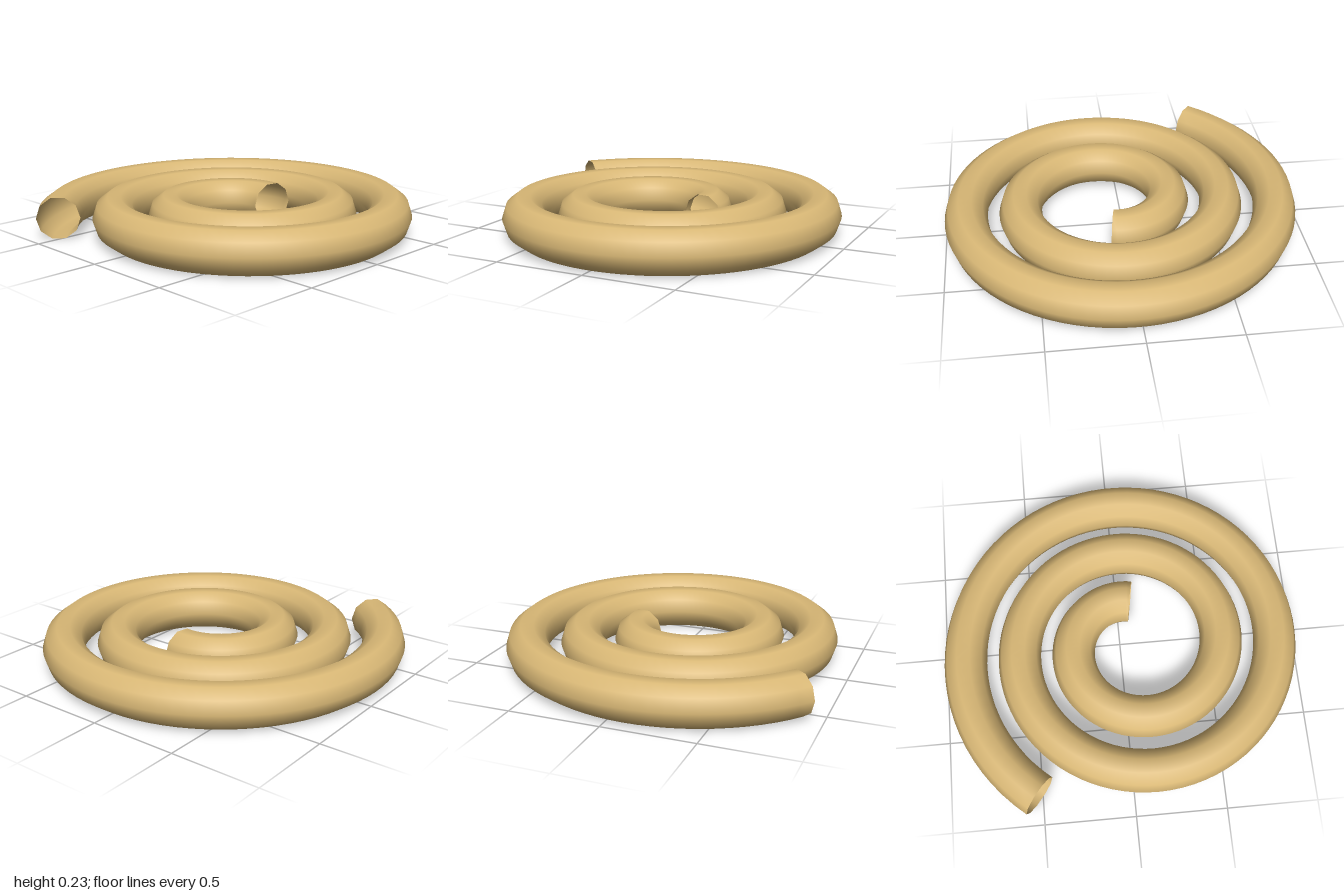
import * as THREE from 'three';

const TURNS = 2.4, START_RADIUS = 0.267, PITCH = 0.306;
const TUBE = 0.12, SIDES = 10, STEPS = 200;
const CENTRE = { x: -0.05, z: 0.0765 };

// Ten-sided ring swept along a flat Archimedean spiral, open at both ends
function spiralTube() {
  const positions = [], indices = [];
  const lift = TUBE * Math.sin(Math.PI * 0.4); // half height of the ring
  const growth = PITCH / (2 * Math.PI);
  for (let i = 0; i <= STEPS; i++) {
    const a = (i / STEPS) * TURNS * 2 * Math.PI;
    const r = START_RADIUS + growth * a;
    const c = Math.cos(a), s = Math.sin(a);
    // outward direction, square to the path
    const len = Math.hypot(r, growth);
    const nx = (r * c + growth * s) / len;
    const nz = (-r * s + growth * c) / len;
    for (let j = 0; j < SIDES; j++) {
      const t = (j / SIDES) * 2 * Math.PI;
      const out = TUBE * Math.cos(t);
      positions.push(
        CENTRE.x + r * c + nx * out,
        lift + TUBE * Math.sin(t),
        CENTRE.z - r * s + nz * out
      );
      if (i < STEPS) {
        const k = (j + 1) % SIDES;
        const p = i * SIDES + j, q = i * SIDES + k;
        indices.push(p, p + SIDES, q, q, p + SIDES, q + SIDES);
      }
    }
  }
  const geometry = new THREE.BufferGeometry();
  geometry.setAttribute('position', new THREE.Float32BufferAttribute(positions, 3));
  geometry.setIndex(indices);
  geometry.computeVertexNormals();
  return geometry;
}

export function createModel() {
  const group = new THREE.Group();
  group.name = 'spiralCoil';
  const tan = new THREE.MeshStandardMaterial({ color: 0xd9b876, side: THREE.DoubleSide });
  tan.name = 'tan';
  const coil = new THREE.Mesh(spiralTube(), tan);
  coil.name = 'coil';
  group.add(coil);
  return group;
}
